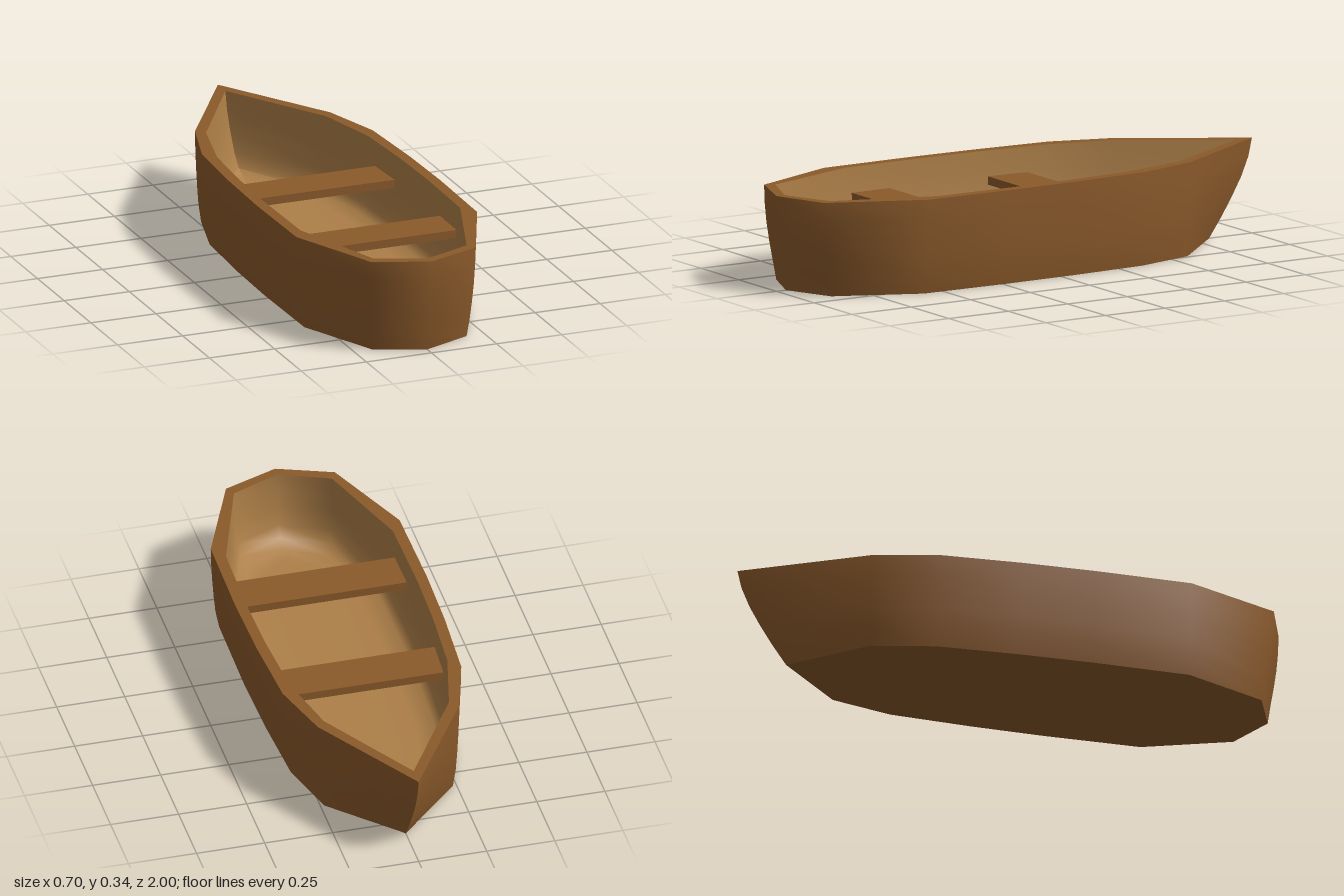
import * as THREE from 'three';
import { toCreasedNormals } from 'three/addons/utils/BufferGeometryUtils.js';

const WOOD = 0x8b5a2b, LIGHT_WOOD = 0xad7f48;
const TOP = 0.345;

// Half outlines at the rim, bow to stern: [x, z]
const outer = [[0, -1], [0.26, -0.58], [0.328, -0.35], [0.346, -0.05], [0.352, 0.22], [0.347, 0.58], [0.2, 0.925], [0, 1]];
const inner = [[0, -0.93], [0.23, -0.55], [0.29, -0.3], [0.307, -0.03], [0.312, 0.2], [0.307, 0.52], [0.18, 0.89], [0, 0.965]];

// Hull section: [height, width scale, bow set-back, stern set-back]
const section = [
  [0, 0.91, 0.18, 0.04], [0.07, 0.95, 0.13, 0.03], [0.14, 0.97, 0.085, 0.018],
  [0.21, 0.985, 0.045, 0.008], [0.28, 0.996, 0.015, 0.002], [TOP, 1, 0, 0],
];
// Cavity section, rim to floor, with a rounded turn into the floor
const cavity = [
  [TOP, 1, 0, 0], [0.28, 0.996, 0.015, 0.002], [0.21, 0.985, 0.045, 0.008],
  [0.14, 0.96, 0.085, 0.02], [0.095, 0.92, 0.125, 0.04], [0.07, 0.84, 0.18, 0.08], [0.065, 0.6, 0.24, 0.13],
];

// Mirrored closed ring at one height
function ring(outline, [y, scale, bow, stern]) {
  const half = outline.map(([x, z], i) => {
    const shift = i === 0 ? bow : i >= outline.length - 2 ? -stern : 0;
    return [x * scale, y, z + shift];
  });
  return [...half, ...half.slice(1, -1).reverse().map(([x, h, z]) => [-x, h, z])];
}

// Flattens a ring onto the centre line, to close a floor
const centreLine = (r) => r.map(([, y, z]) => [0, y, z]);

function loft(rings) {
  const n = rings[0].length, index = [];
  for (let r = 0; r < rings.length - 1; r++) {
    for (let i = 0; i < n; i++) {
      const a = r * n + i, b = r * n + (i + 1) % n;
      index.push(a, a + n, b + n, a, b + n, b);
    }
  }
  const geometry = new THREE.BufferGeometry();
  geometry.setAttribute('position', new THREE.Float32BufferAttribute(rings.flat(2), 3));
  geometry.setIndex(index);
  return toCreasedNormals(geometry, 1.0);
}

function addMesh(group, name, geometry, color) {
  const mesh = new THREE.Mesh(geometry, new THREE.MeshStandardMaterial({ color }));
  mesh.name = name;
  group.add(mesh);
  return mesh;
}

export function createModel() {
  const boat = new THREE.Group();
  boat.name = 'rowingBoat';

  // Flat bottom, outer sides and top of the rim
  const sides = section.map((s) => ring(outer, s));
  addMesh(boat, 'hull', loft([centreLine(sides[0]), ...sides, ring(inner, cavity[0])]), WOOD);

  // Inner sides and floor
  const lining = cavity.map((s) => ring(inner, s));
  addMesh(boat, 'interior', loft([...lining, centreLine(lining[lining.length - 1])]), LIGHT_WOOD);

  // Two plank seats
  for (const [name, z, width] of [['bowSeat', -0.16, 0.605], ['sternSeat', 0.41, 0.62]]) {
    addMesh(boat, name, new THREE.BoxGeometry(width, 0.03, 0.16), WOOD).position.set(0, 0.237, z);
  }
  return boat;
}
